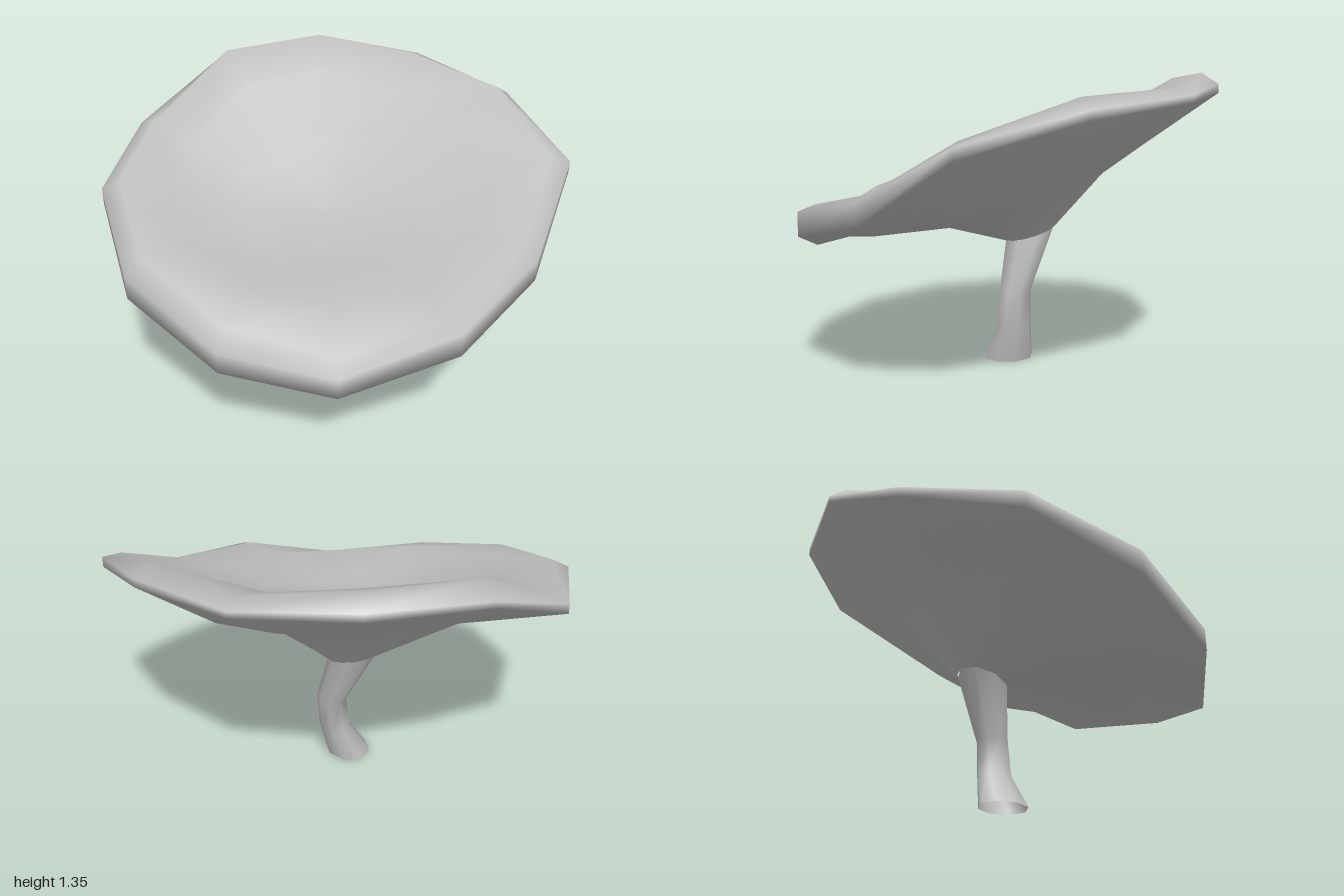
import * as THREE from 'three';

// Cap outline (x, z), twelve corners starting at the back and passing +x.
const outline = [
  [-0.04, -0.98], [0.47, -0.85], [0.85, -0.5], [1, 0.03], [0.95, 0.55], [0.54, 0.83],
  [0.03, 0.975], [-0.46, 0.81], [-0.83, 0.48], [-1, -0.02], [-0.89, -0.51], [-0.53, -0.885],
];
// Heights round the lip, in the same order.
const lowerLip = [1.23, 1.26, 1.23, 1.17, 1.03, 0.74, 0.64, 0.515, 0.58, 0.71, 0.9, 1.015];
const outerLip = [1.26, 1.3, 1.26, 1.21, 1.08, 0.84, 0.75, 0.61, 0.68, 0.82, 0.98, 1.06];
const crest = [1.325, 1.35, 1.29, 1.26, 1.1, 0.87, 0.78, 0.67, 0.76, 0.89, 1.02, 1.09];
const ridge = [1.22, 1.25, 1.2, 1.11, 0.99, 0.87, 0.8, 0.78, 0.82, 0.89, 0.97, 1.04];

// Height of the tilted plane the cap lies in.
const plane = (x, z) => 0.93 + 0.22 * x - 0.3 * z;

// A ring following the outline; height is a list, or a function of x and z.
function capRing(scale, height, cx = 0, cz = 0) {
  return outline.map(([ox, oz], k) => {
    const x = cx + ox * scale, z = cz + oz * scale;
    return [x, Array.isArray(height) ? height[k] : height(x, z), z];
  });
}

// An oval ring, optionally rising towards the back.
function ovalRing(y, cx, cz, rx, rz, tilt = 0, sides = 8) {
  return Array.from({ length: sides }, (_, k) => {
    const a = (k / sides) * Math.PI * 2;
    return [cx + Math.sin(a) * rx, y + Math.cos(a) * tilt, cz - Math.cos(a) * rz];
  });
}

// Skin over rings of equal size, listed from the underside upwards.
function loft(rings) {
  const n = rings[0].length, index = [];
  for (let j = 0; j < rings.length - 1; j++) {
    for (let k = 0; k < n; k++) {
      const a = j * n + k, b = j * n + ((k + 1) % n);
      index.push(a, a + n, b, b, a + n, b + n);
    }
  }
  const geometry = new THREE.BufferGeometry();
  geometry.setAttribute('position', new THREE.Float32BufferAttribute(rings.flat(2), 3));
  geometry.setIndex(index);
  geometry.computeVertexNormals();
  return geometry;
}

export function createModel() {
  const group = new THREE.Group();
  // Double-sided because the foot of the stem is open.
  const grey = new THREE.MeshStandardMaterial({ color: 0xbfbfbf, side: THREE.DoubleSide });
  grey.name = 'plain grey';

  const add = (name, rings) => {
    const mesh = new THREE.Mesh(loft(rings), grey);
    mesh.name = name;
    group.add(mesh);
  };

  // Tilted dish: bowl-shaped underside, rounded lip, sunken top.
  add('cap', [
    ovalRing(0.605, 0.04, -0.11, 0.11, 0.12, 0.035, 12),
    capRing(0.38, (x, z) => plane(x, z) - 0.21, 0.01, -0.09),
    capRing(0.66, (x, z) => plane(x, z) - 0.12 - 0.07 * x),
    capRing(1, lowerLip),
    capRing(1, outerLip),
    capRing(0.92, crest),
    capRing(0.7, ridge),
    capRing(0.4, (x, z) => plane(x, z) - 0.05),
    capRing(0.001, (x, z) => plane(x, z) - 0.08),
  ]);

  // Bent stalk, widening at the foot and under the cap.
  add('stem', [
    ovalRing(0, 0.005, -0.015, 0.105, 0.12),
    ovalRing(0.17, 0.08, -0.015, 0.07, 0.085),
    ovalRing(0.34, 0.097, -0.015, 0.068, 0.077),
    ovalRing(0.605, 0.04, -0.11, 0.11, 0.12, 0.035),
  ]);

  return group;
}
